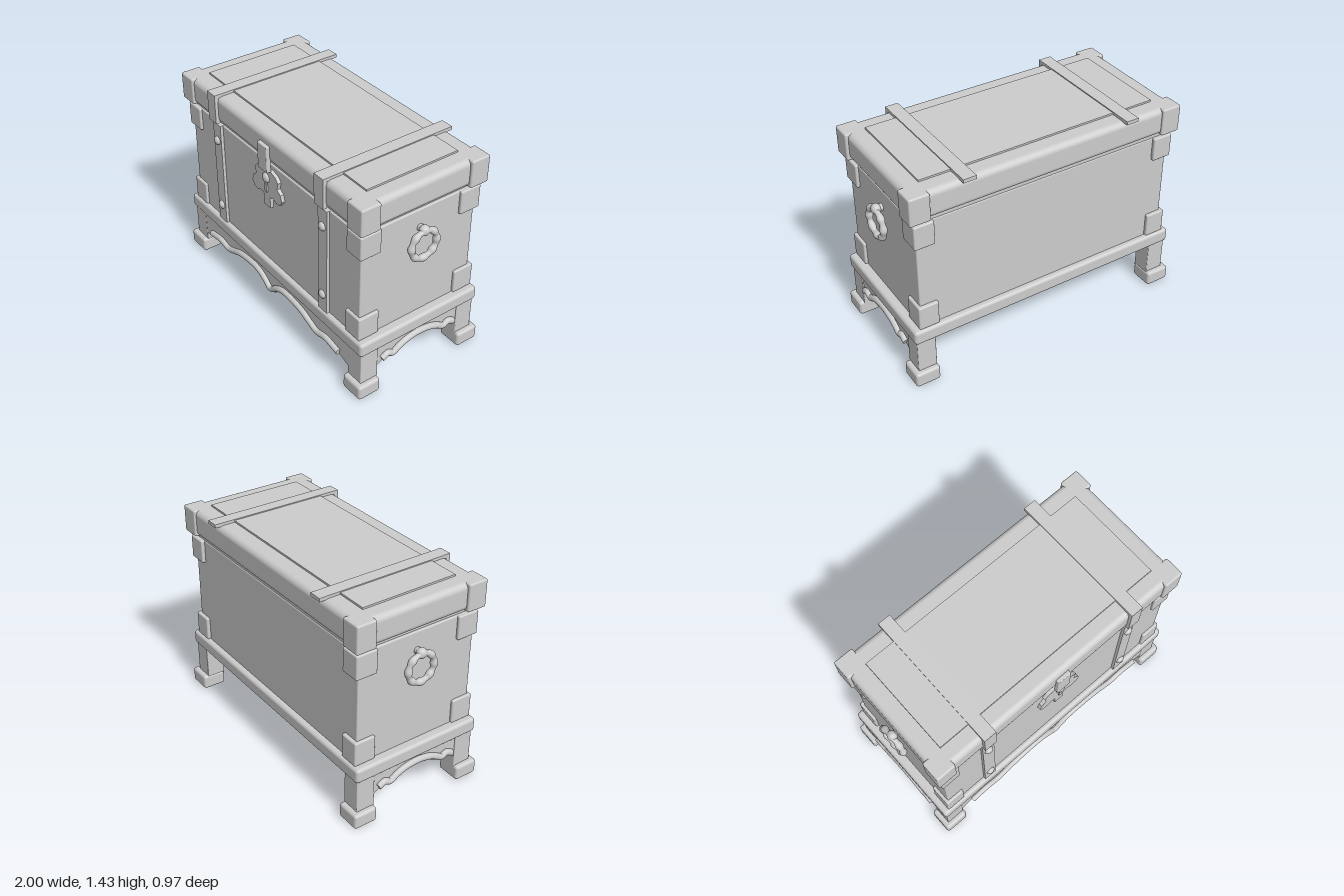
import * as THREE from 'three';
import { RoundedBoxGeometry } from 'three/addons/geometries/RoundedBoxGeometry.js';

const grey = new THREE.MeshStandardMaterial({ color: 0xcccccc });
grey.name = 'stone grey';

export function createModel() {
  const chest = new THREE.Group();
  chest.name = 'chest';

  const add = (name, geometry, parent = chest) => {
    const mesh = new THREE.Mesh(geometry, grey);
    mesh.name = name;
    parent.add(mesh);
    return mesh;
  };
  // Box given by its limits; r rounds the edges
  const box = (name, x0, x1, y0, y1, z0, z1, r = 0) => {
    const w = x1 - x0, h = y1 - y0, d = z1 - z0;
    const geo = r ? new RoundedBoxGeometry(w, h, d, 3, r) : new THREE.BoxGeometry(w, h, d);
    const mesh = add(name, geo);
    mesh.position.set((x0 + x1) / 2, (y0 + y1) / 2, (z0 + z1) / 2);
    return mesh;
  };
  // The same box on all four corners
  const corners = (name, x0, x1, y0, y1, z0, z1, r) => {
    for (const sx of [-1, 1]) for (const sz of [-1, 1]) {
      const m = box(name, x0, x1, y0, y1, z0, z1, r);
      m.position.x *= sx;
      m.position.z *= sz;
    }
  };

  // Stand
  corners('foot', 0.83, 1.0, 0, 0.105, 0.32, 0.485, 0.02);
  corners('leg', 0.835, 0.965, 0.08, 0.34, 0.32, 0.45, 0.006);
  box('basePlate', -0.98, 0.98, 0.33, 0.43, -0.465, 0.465, 0.022);

  // Box body and neck under the lid
  box('body', -0.917, 0.917, 0.42, 1.2, -0.425, 0.432, 0.008);
  box('neck', -0.9, 0.9, 1.19, 1.24, -0.42, 0.42);
  corners('lowerCornerGuard', 0.8, 0.937, 0.43, 0.597, 0.3, 0.45, 0.01);
  corners('upperCornerGuard', 0.8, 0.937, 1.037, 1.2, 0.3, 0.45, 0.01);

  // Lid
  box('lid', -0.948, 0.948, 1.23, 1.415, -0.458, 0.458, 0.04);
  box('lidPanel', -0.832, 0.832, 1.405, 1.427, -0.337, 0.337);
  corners('lidCornerGuard', 0.83, 0.967, 1.228, 1.415, 0.335, 0.473, 0.012);

  // Straps with rivets
  for (const s of [-1, 1]) {
    const x = s * 0.578, a = x - 0.044, b = x + 0.044;
    box('topStrap', a, b, 1.41, 1.434, -0.48, 0.48);
    box('lidFrontStrap', a, b, 1.228, 1.434, 0.45, 0.48);
    box('bodyStrap', a, b, 0.43, 1.2, 0.42, 0.453);
    for (const y of [0.56, 1.075]) {
      const rivet = add('rivet', new THREE.SphereGeometry(0.03, 20, 14));
      rivet.position.set(x, y, 0.453);
      rivet.scale.z = 0.75;
    }
  }

  // Lock plate, keyhole and hasp
  const half = [[0.05, 1.165], [0.1, 1.15], [0.127, 1.12], [0.115, 1.07], [0.15, 1.045],
    [0.163, 1.0], [0.14, 0.965], [0.1, 0.958], [0.07, 0.975], [0.034, 0.965], [0.034, 0.885]];
  const outline = [...half, ...half.map(([x, y]) => [-x, y]).reverse()];
  const plate = new THREE.Shape(outline.map(([x, y]) => new THREE.Vector2(x, y)));
  add('lockPlate', new THREE.ExtrudeGeometry(plate, { depth: 0.026, bevelEnabled: false }))
    .position.z = 0.43;
  const knob = add('keyKnob', new THREE.SphereGeometry(0.034, 20, 14));
  knob.position.set(0, 1.1, 0.456);
  knob.scale.z = 0.65;
  box('keyStem', -0.012, 0.012, 0.995, 1.09, 0.45, 0.466, 0.004);
  box('hasp', -0.05, 0.05, 1.163, 1.35, 0.45, 0.483, 0.006);

  // Ring handles: a torus whose tube swells in four segments
  for (const s of [-1, 1]) {
    const handle = new THREE.Group();
    handle.name = 'handle';
    handle.position.set(s * 0.962, 0.975, 0);
    handle.rotation.y = s * Math.PI / 2;
    chest.add(handle);
    const ring = new THREE.TorusGeometry(0.096, 0.022, 16, 96);
    const p = ring.attributes.position;
    for (let i = 0; i < p.count; i++) {
      const a = Math.atan2(p.getY(i), p.getX(i));
      const k = 0.98 + 0.16 * Math.cos(8 * a);
      const r = 0.096 + (Math.hypot(p.getX(i), p.getY(i)) - 0.096) * k;
      p.setXYZ(i, Math.cos(a) * r, Math.sin(a) * r, p.getZ(i) * k);
    }
    ring.computeVertexNormals();
    add('ring', ring, handle);
    const mount = add('ringMount', new THREE.SphereGeometry(0.035, 20, 14), handle);
    mount.position.set(0, 0.098, -0.005);
    mount.scale.z = 0.9;
    const post = add('ringPost', new THREE.CylinderGeometry(0.024, 0.024, 0.05, 20), handle);
    post.rotation.x = Math.PI / 2;
    post.position.set(0, 0.098, -0.03);
  }

  // Scalloped apron with a moulding, drawn in x-y from its right half
  const v2 = ([x, y]) => new THREE.Vector2(x, y);
  const mirror = (pts) => [...pts.slice(1).reverse().map(([x, y]) => [-x, y]), ...pts];
  const apron = (name, edge, rail, depth, radius) => {
    const group = new THREE.Group();
    group.name = name;
    chest.add(group);
    const pts = mirror(edge), end = edge[edge.length - 1][0];
    const shape = new THREE.Shape();
    shape.moveTo(end, 0.335);
    shape.lineTo(-end, 0.335);
    shape.lineTo(...pts[0]);
    shape.splineThru(pts.slice(1).map(v2));
    shape.closePath();
    const board = add('apronBoard',
      new THREE.ExtrudeGeometry(shape, { depth, bevelEnabled: false, curveSegments: 10 }), group);
    board.position.z = -depth;
    const path = new THREE.CatmullRomCurve3(
      mirror(rail).map(([x, y]) => new THREE.Vector3(x, y, 0)), false, 'centripetal');
    add('apronMoulding', new THREE.TubeGeometry(path, 96, radius, 12), group)
      .position.z = 0.008;
    // Caps on the moulding ends
    for (const t of [0, 1]) {
      const cap = add('mouldingCap', new THREE.CircleGeometry(radius, 12), group);
      const at = path.getPoint(t), dir = path.getTangent(t).multiplyScalar(t ? 1 : -1);
      cap.position.set(at.x, at.y, 0.008);
      cap.quaternion.setFromUnitVectors(new THREE.Vector3(0, 0, 1), dir);
    }
    return group;
  };

  apron('frontApron',
    [[0, 0.178], [0.1, 0.235], [0.2, 0.262], [0.36, 0.245], [0.46, 0.208], [0.53, 0.188],
      [0.64, 0.2], [0.74, 0.185], [0.84, 0.155]],
    [[0, 0.205], [0.06, 0.245], [0.125, 0.277], [0.2, 0.287], [0.365, 0.268], [0.45, 0.235],
      [0.525, 0.212], [0.62, 0.228], [0.75, 0.208]],
    0.04, 0.021).position.z = 0.448;
  for (const s of [-1, 1]) {
    const side = apron('sideApron',
      [[0, 0.275], [0.1, 0.258], [0.155, 0.232], [0.205, 0.207], [0.25, 0.215], [0.325, 0.175]],
      [[0, 0.296], [0.1, 0.282], [0.155, 0.259], [0.205, 0.232], [0.245, 0.248], [0.29, 0.227]],
      0.04, 0.022);
    side.position.x = s * 0.957;
    side.rotation.y = s * Math.PI / 2;
  }
  return chest;
}
